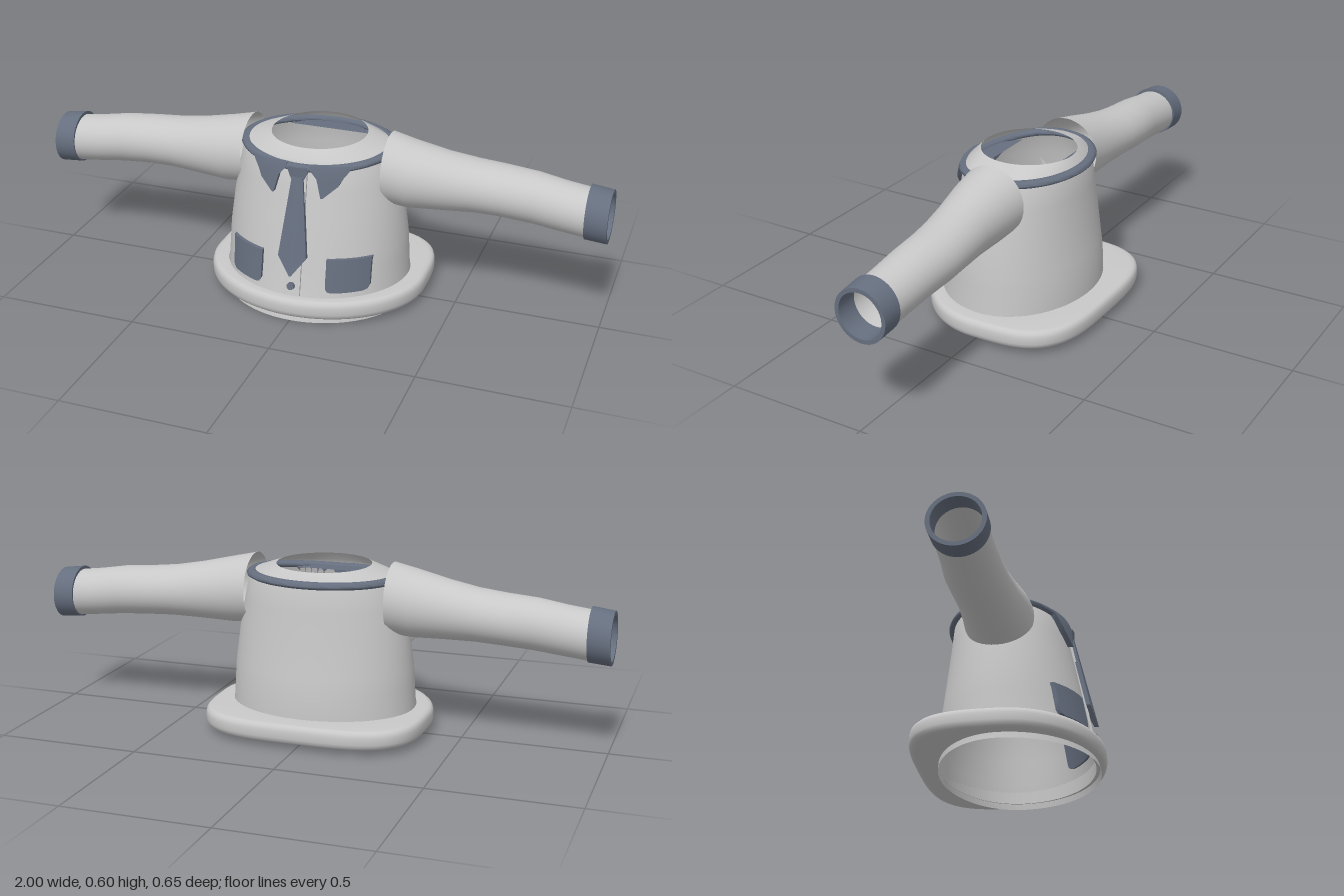
import * as THREE from 'three';
import { toCreasedNormals } from 'three/addons/utils/BufferGeometryUtils.js';

const paint = (name, color) => {
  const m = new THREE.MeshStandardMaterial({ color, side: THREE.DoubleSide });
  m.name = name;
  return m;
};

// Skin a list of closed rings of [x, y, z] points
function loft(rings, crease = 0.7) {
  const n = rings[0].length, index = [];
  for (let i = 0; i < rings.length - 1; i++) {
    for (let j = 0; j < n; j++) {
      const k = (j + 1) % n;
      const a = i * n + j, b = i * n + k, c = (i + 1) * n + k, d = (i + 1) * n + j;
      index.push(a, b, c, a, c, d);
    }
  }
  const g = new THREE.BufferGeometry();
  g.setAttribute('position', new THREE.Float32BufferAttribute(rings.flat(2), 3));
  g.setIndex(index);
  return toCreasedNormals(g, crease);
}

const around = (n, fn) => Array.from({ length: n }, (_, j) => fn((j / n) * Math.PI * 2));
const lerp = THREE.MathUtils.lerp;

// Torso sections: height, half width, front depth, back depth
const TORSO = [
  [0, 0.335, 0.308, 0.247], [0.03, 0.331, 0.301, 0.246], [0.09, 0.326, 0.286, 0.245],
  [0.175, 0.321, 0.27, 0.243], [0.23, 0.318, 0.26, 0.234], [0.35, 0.302, 0.236, 0.22],
  [0.45, 0.284, 0.216, 0.209], [0.53, 0.266, 0.201, 0.202], [0.55, 0.255, 0.192, 0.194],
  [0.58, 0.165, 0.162, 0.168],
];

function torsoAt(y) {
  let i = 0;
  while (i < TORSO.length - 2 && TORSO[i + 1][0] < y) i++;
  const p = TORSO[i], q = TORSO[i + 1], t = (y - p[0]) / (q[0] - p[0]);
  return p.map((v, k) => lerp(v, q[k], t));
}

function wallZ(x, y) {
  const [, a, f] = torsoAt(y);
  return f * Math.sqrt(Math.max(0, 1 - (x / a) ** 2));
}

// Thin plate from rows of [y, left x, right x], laid over a depth rule
function plate(rows, depth, back, front, cols = 8) {
  const ring = ([y, x0, x1], b, f) => {
    const pts = [];
    for (let j = 0; j <= cols; j++) {
      const x = lerp(x0, x1, j / cols);
      pts.push([x, y, depth(x, y) + f]);
    }
    for (let j = cols; j >= 0; j--) {
      const x = lerp(x0, x1, j / cols);
      pts.push([x, y, depth(x, y) + b]);
    }
    return pts;
  };
  const mid = (back + front) / 2;
  return loft([
    ring(rows[0], mid, mid),
    ...rows.map((r) => ring(r, back, front)),
    ring(rows[rows.length - 1], mid, mid),
  ]);
}

export function createModel() {
  const model = new THREE.Group();
  model.name = 'shirt';
  const cloth = paint('light cloth', 0xc8c8c8);
  const trim = paint('slate trim', 0x666f7f);
  const add = (name, geometry, material) => {
    const mesh = new THREE.Mesh(geometry, material);
    mesh.name = name;
    model.add(mesh);
    return mesh;
  };

  // Torso shell, open at neck and waist
  add('torso', loft(TORSO.map(([y, a, f, b]) => around(72, (t) =>
    [a * Math.sin(t), y, Math.cos(t) * (Math.cos(t) > 0 ? f : b)]))), cloth);

  // Wide hem: oval in front, squarer behind; profile is [inset, height]
  const hemProfile = [
    [1, 0.021], [0.022, 0.021], [0.01, 0.023], [0.003, 0.031], [0, 0.042], [0, 0.066],
    [0.003, 0.078], [0.01, 0.085], [0.022, 0.087], [1, 0.087], [1, 0.021],
  ];
  add('hem', loft(hemProfile.map(([inset, y]) => around(96, (t) => {
    const s = Math.sin(t), c = Math.cos(t);
    if (inset === 1) return [0.328 * s, y, c * (c > 0 ? 0.29 : 0.246)];
    const e = c > 0 ? 1 : 0.58;
    return [
      (0.389 - inset) * Math.sign(s) * Math.abs(s) ** e, y,
      (0.327 - inset) * Math.sign(c) * Math.abs(c) ** e,
    ];
  })), 0.9), cloth);

  // Sleeve sections: x, top, bottom, front z, back z
  const sleeve = [
    [0.25, 0.6, 0.355, 0.112, -0.13], [0.33, 0.582, 0.348, 0.107, -0.122],
    [0.45, 0.555, 0.353, 0.086, -0.118], [0.55, 0.538, 0.357, 0.072, -0.125],
    [0.64, 0.529, 0.354, 0.064, -0.128], [0.75, 0.52, 0.346, 0.06, -0.12],
    [0.85, 0.503, 0.334, 0.06, -0.114], [0.94, 0.492, 0.324, 0.06, -0.111],
  ];
  const cuff = [
    [0.925, 0.49, 0.334, 0.052, -0.102], [0.925, 0.505, 0.32, 0.066, -0.117],
    [1, 0.495, 0.314, 0.066, -0.117], [1, 0.481, 0.328, 0.052, -0.103],
    [0.925, 0.49, 0.334, 0.052, -0.102],
  ];
  const tube = (rows, s) => loft(rows.map(([x, top, bottom, f, b]) => around(40, (t) => [
    s * x,
    (top + bottom) / 2 + Math.cos(t) * (top - bottom) / 2,
    (f + b) / 2 + s * Math.sin(t) * (f - b) / 2,
  ])));

  for (const s of [1, -1]) {
    const side = s > 0 ? 'left' : 'right';
    const flip = (rows) => rows.map(([y, a, b]) => (s > 0 ? [y, a, b] : [y, -b, -a]));
    add(side + 'Sleeve', tube(sleeve, s), cloth);
    add(side + 'Cuff', tube(cuff, s), trim);

    // Pocket with rounded lower corners and a slightly wider top band
    add(side + 'Pocket', plate(flip([
      [0.109, 0.135, 0.232], [0.114, 0.122, 0.243], [0.125, 0.116, 0.248],
      [0.16, 0.115, 0.248], [0.205, 0.115, 0.248], [0.225, 0.114, 0.25],
    ]), wallZ, -0.008, 0.014), trim);

    // Pointed collar wing
    add(side + 'CollarWing', plate(flip([
      [0.436, 0.083, 0.09], [0.475, 0.073, 0.135], [0.5, 0.066, 0.148],
      [0.525, 0.045, 0.168], [0.54, 0.04, 0.17],
    ]), wallZ, 0, 0.02), trim);
  }

  // Collar band, dipping towards the front
  const bandSection = around(12, (u) => [Math.cos(u), Math.sin(u)]);
  const bandRows = Array.from({ length: 73 }, (_, i) => {
    const t = (-i / 72) * Math.PI * 2;
    const y = 0.542 - 0.016 * Math.max(0, Math.cos(t)) ** 2;
    return bandSection.map(([r, h]) => [
      (0.253 + 0.022 * r) * Math.sin(t), y + 0.013 * h, (0.198 + 0.022 * r) * Math.cos(t)]);
  });
  add('collarBand', loft(bandRows, 1.2), trim);

  // Collar lining showing inside the neck, front and back
  for (const [name, turn, y] of [['frontCollarLining', 0, 0.53], ['backCollarLining', Math.PI, 0.54]]) {
    const shape = new THREE.Shape();
    shape.absellipse(0, 0, 0.19, 0.185, -Math.PI * 0.79, -Math.PI * 0.21, false);
    shape.closePath();
    const g = new THREE.ShapeGeometry(shape, 24).rotateX(-Math.PI / 2).rotateY(turn);
    add(name, g.translate(0, y, 0), trim);
  }

  // Button strip, buttons and tie
  add('buttonStrip', plate(TORSO.slice(2, 8).map(([y]) => [y, -0.03, 0.03]), wallZ, -0.004, 0.008), cloth);
  for (const y of [0.125, 0.215]) {
    const button = add('button', new THREE.CylinderGeometry(0.013, 0.013, 0.014, 20), trim);
    button.rotation.x = Math.PI / 2 - 0.2;
    button.position.set(0, y, wallZ(0, y) + 0.013);
  }
  const tieZ = (x, y) => lerp(0.288, 0.211, (y - 0.165) / 0.335) - Math.abs(x) * 0.18;
  add('tie', plate([
    [0.166, -0.003, 0.003], [0.228, -0.05, 0.05], [0.36, -0.035, 0.035], [0.5, -0.019, 0.019],
  ], tieZ, 0, 0.015), trim);
  add('tieKnot', plate([
    [0.487, -0.02, 0.02], [0.5, -0.027, 0.027], [0.524, -0.036, 0.036], [0.534, -0.03, 0.03],
  ], (x, y) => 0.204 - Math.abs(x) * 0.2, -0.004, 0.022), trim);

  return model;
}
